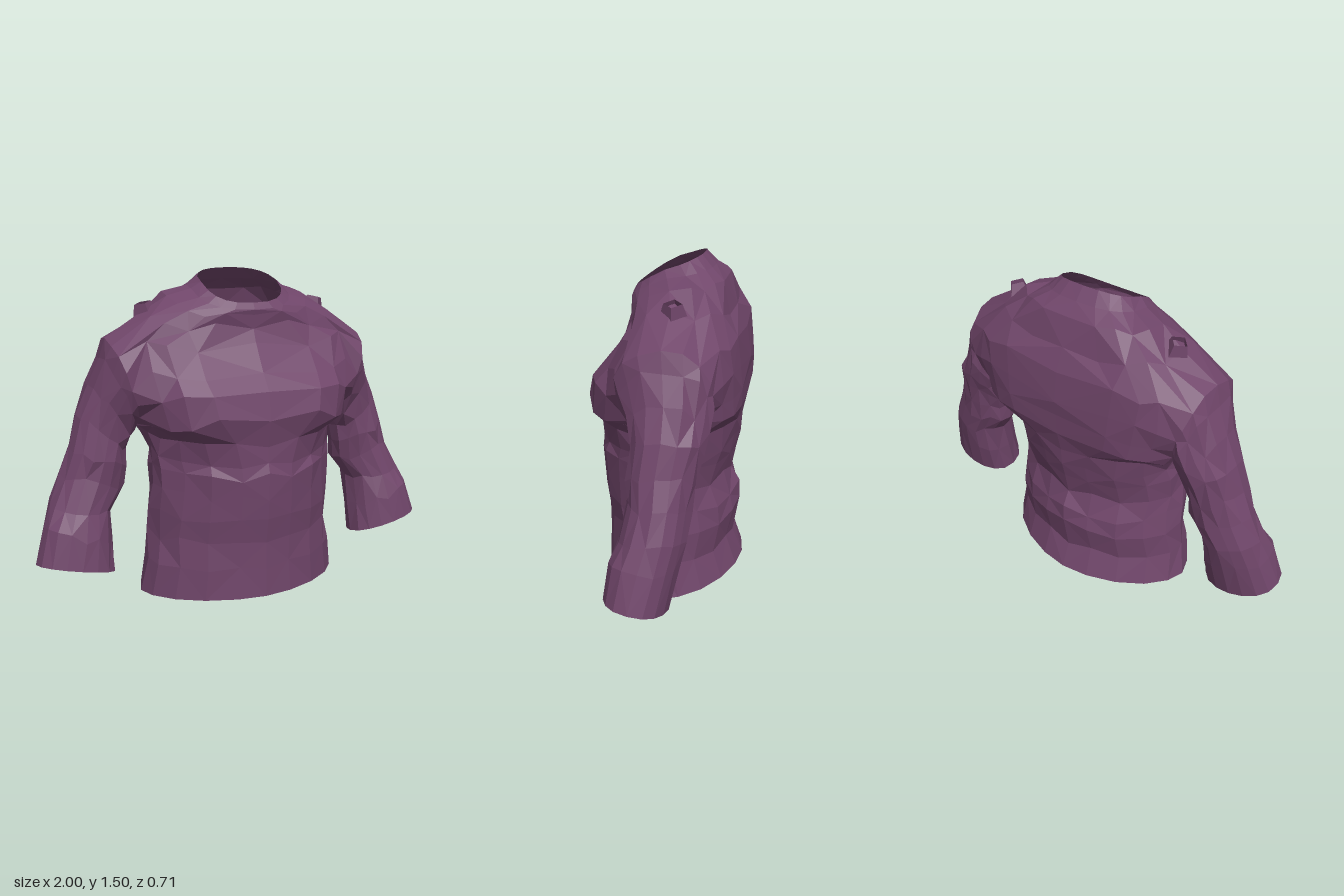
import * as THREE from 'three';

// repeatable value in -1..1
function hash(i, j) {
  const s = Math.sin(i * 127.1 + j * 311.7) * 43758.5453;
  return (s - Math.floor(s)) * 2 - 1;
}

const spow = (v, e) => Math.sign(v) * Math.pow(Math.abs(v), e);

// Join rings of points, listed upward, into a faceted tube; isHole leaves out cells
function loft(rings, isHole = () => false) {
  const n = rings[0].length, pos = [], idx = [];
  rings.forEach(r => r.forEach(p => pos.push(p.x, p.y, p.z)));
  for (let i = 0; i < rings.length - 1; i++) {
    for (let j = 0; j < n; j++) {
      if (isHole(i, j)) continue;
      const k = (j + 1) % n;
      const a = i * n + j, b = i * n + k, c = a + n, d = b + n;
      const flip = (i + Math.min(j, n - 1 - j) + (j >= n / 2 ? 1 : 0)) % 2;
      if (flip) idx.push(a, c, b, b, c, d);
      else idx.push(a, c, d, a, d, b);
    }
  }
  const g = new THREE.BufferGeometry();
  g.setAttribute('position', new THREE.Float32BufferAttribute(pos, 3));
  g.setIndex(idx);
  const flat = g.toNonIndexed();
  flat.computeVertexNormals();
  return flat;
}

// Torso levels: y at front, side, back; half width; z at front, back
const TORSO = [
  [0.01, 0.0, 0.01, 0.505, 0.32, -0.34],
  [0.16, 0.16, 0.15, 0.48, 0.32, -0.29],
  [0.28, 0.30, 0.30, 0.47, 0.31, -0.32],
  [0.40, 0.41, 0.38, 0.465, 0.33, -0.31],
  [0.50, 0.52, 0.47, 0.46, 0.335, -0.27],
  [0.59, 0.62, 0.56, 0.455, 0.345, -0.30],
  [0.66, 0.71, 0.66, 0.455, 0.33, -0.325],
  [0.74, 0.77, 0.76, 0.465, 0.33, -0.33],
  [0.86, 0.82, 0.86, 0.49, 0.36, -0.355],
  [0.96, 0.95, 0.95, 0.52, 0.335, -0.355],
  [1.05, 1.07, 1.05, 0.55, 0.28, -0.355],
  [1.17, 1.20, 1.18, 0.555, 0.19, -0.33],
  [1.25, 1.31, 1.28, 0.46, 0.17, -0.29],
  [1.30, 1.39, 1.39, 0.34, 0.175, -0.245],
  [1.33, 1.42, 1.45, 0.235, 0.18, -0.19],
  [1.36, 1.45, 1.505, 0.19, 0.165, -0.14],
];
const SEGMENTS = 20;
// Armhole: rows and columns on the left side of the torso
const HOLE = { bottom: 8, top: 12, back: 13, front: 17 };

// Roundness of a torso level as exponents for x and z: narrow waist, broad chest and back
function roundness(i, isBack) {
  if (i < 7) return [1.12, 1.12];
  if (i === 7) return [0.95, 0.95];
  if (i >= HOLE.top) return [0.78, 0.7];
  return isBack ? [0.55, 0.45] : [0.6, 0.78];
}

function torsoRings() {
  const last = TORSO.length - 1;
  return TORSO.map(([yf, ys, yb, w, zf, zb], i) => {
    const zc = (zf + zb) / 2, hd = (zf - zb) / 2;
    return Array.from({ length: SEGMENTS }, (_, j) => {
      const t = j / SEGMENTS * Math.PI * 2, m = Math.min(j, SEGMENTS - j);
      const c = Math.cos(t), s = -Math.sin(t);
      const rough = i === 0 || i >= last - 1 ? 0 : 1;
      const k = 1 + 0.028 * rough * hash(i, m);
      const y = ys + ((c > 0 ? yf : yb) - ys) * Math.pow(Math.abs(c), 0.8)
        + 0.024 * rough * hash(m + 40, i);
      const [ex, ez] = roundness(i, c < 0);
      return new THREE.Vector3(w * spow(s, ex) * k, y, zc + hd * spow(c, ez) * k);
    });
  });
}

// Rim of the armhole, from the top middle over the front, bottom and back
function armholeRim(rings) {
  const { bottom, top, back, front } = HOLE, mid = (back + front) / 2, rim = [];
  for (let j = mid; j < front; j++) rim.push(rings[top][j]);
  for (let i = top; i > bottom; i--) rim.push(rings[i][front]);
  for (let j = front; j > back; j--) rim.push(rings[bottom][j]);
  for (let i = bottom; i < top; i++) rim.push(rings[i][back]);
  for (let j = back; j < mid; j++) rim.push(rings[top][j]);
  return rim;
}

// Sleeve levels: outer x, y; inner x, y; z at front, back
const SLEEVE = [
  [1.0, 0.22, 0.64, 0.14, 0.15, -0.12],
  [0.95, 0.38, 0.635, 0.29, 0.125, -0.16],
  [0.91, 0.48, 0.635, 0.43, 0.095, -0.185],
  [0.86, 0.61, 0.565, 0.53, 0.07, -0.195],
  [0.81, 0.73, 0.56, 0.62, 0.08, -0.205],
  [0.77, 0.87, 0.55, 0.70, 0.07, -0.23],
  [0.71, 1.0, 0.535, 0.76, 0.09, -0.25],
  [0.655, 1.12, 0.52, 0.795, 0.13, -0.26],
  [0.63, 1.21, 0.51, 0.81, 0.155, -0.265],
];

function sleeveRings(rim) {
  const n = rim.length, q = n / 2;
  const rings = SLEEVE.map(([xo, yo, xi, yi, zf, zb], i) =>
    Array.from({ length: n }, (_, j) => {
      const t = j / n * Math.PI * 2;
      const rough = i === 0 || j % q === 0 ? 0 : 1;
      const k = 1 + 0.06 * rough * hash(i + 7, j + 3);
      const c = Math.cos(t) * k, s = spow(Math.sin(t), 0.85) * k;
      // the cuff opens slightly forward
      const lift = i === 0 ? 0.025 * s : 0.02 * rough * hash(j, i + 20);
      return new THREE.Vector3(
        (xo + xi) / 2 + (xo - xi) / 2 * c,
        (yo + yi) / 2 + (yo - yi) / 2 * c + lift,
        (zf + zb) / 2 + (zf - zb) / 2 * s);
    }));
  return [...rings, rim];
}

export function createModel() {
  const group = new THREE.Group();
  group.name = 'shirt';
  const cloth = new THREE.MeshStandardMaterial({ color: 0x70466a, flatShading: true, side: THREE.DoubleSide });
  cloth.name = 'plum cloth';

  // Torso with an armhole on each side
  const rings = torsoRings();
  const isArmhole = (i, j) => {
    const col = Math.max(j, SEGMENTS - 1 - j);
    return i >= HOLE.bottom && i < HOLE.top && col >= HOLE.back && col < HOLE.front;
  };
  const torso = new THREE.Mesh(loft(rings, isArmhole), cloth);
  torso.name = 'torso';
  group.add(torso);

  // Sleeves and the small folds standing on the shoulders
  const sleeveGeo = loft(sleeveRings(armholeRim(rings)));
  const foldGeo = new THREE.CylinderGeometry(0.04, 0.08, 0.12, 4, 1, true);
  for (const [side, s] of [['left', 1], ['right', -1]]) {
    const arm = new THREE.Group();
    arm.name = side + 'Arm';
    arm.scale.x = s;
    const sleeve = new THREE.Mesh(sleeveGeo, cloth);
    sleeve.name = side + 'Sleeve';
    const fold = new THREE.Mesh(foldGeo, cloth);
    fold.name = side + 'ShoulderFold';
    fold.position.set(0.43, 1.3, -0.07);
    fold.rotation.z = -0.25;
    arm.add(sleeve, fold);
    group.add(arm);
  }
  return group;
}
